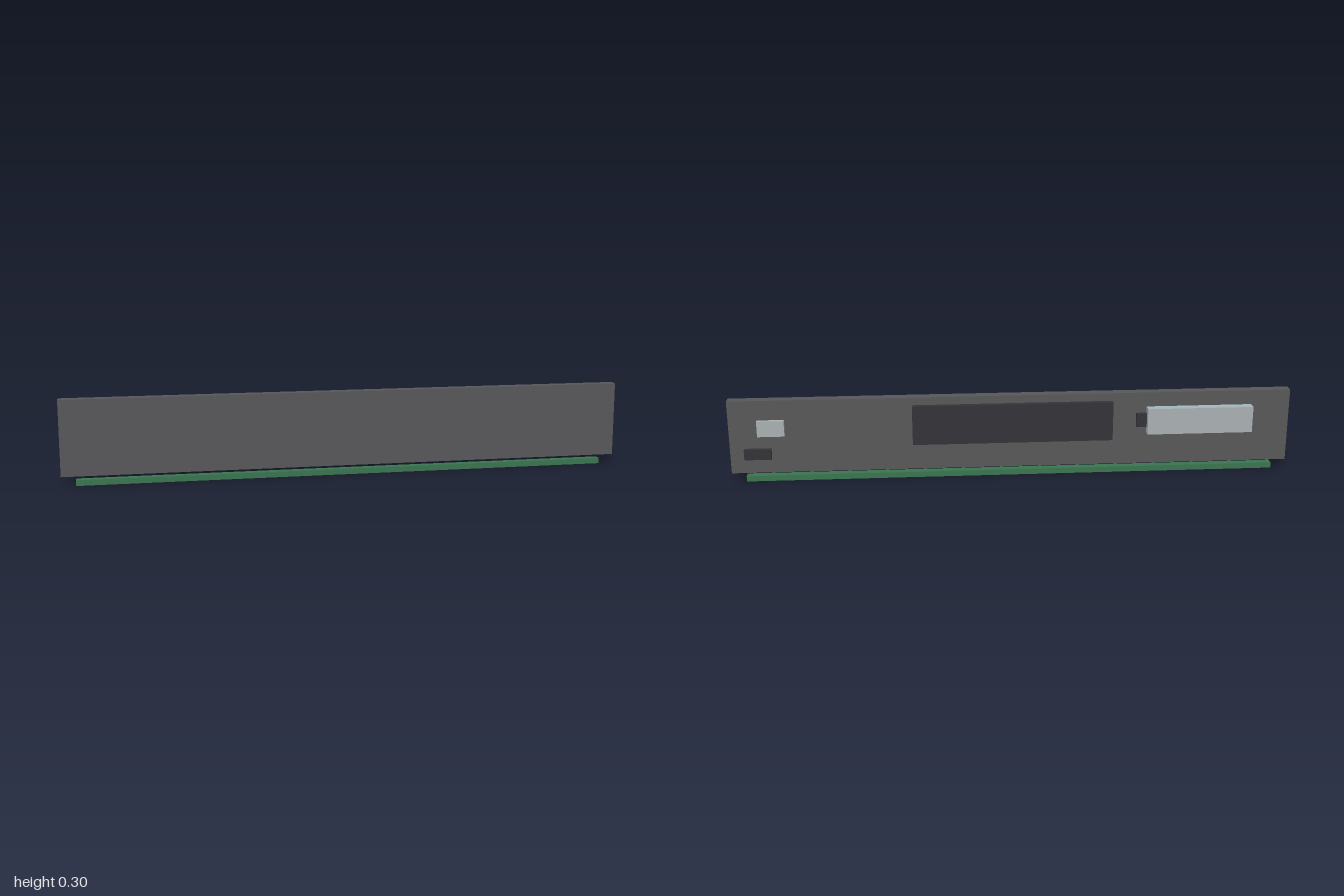
import * as THREE from 'three';

const material = (name, color) => {
  const m = new THREE.MeshStandardMaterial({ color });
  m.name = name;
  return m;
};

export function createModel() {
  const group = new THREE.Group();
  group.name = 'barModule';

  const slate = material('slate grey', 0x58585a);
  const charcoal = material('charcoal', 0x343337);
  const silver = material('silver', 0xaab1b2);
  const paleBlue = material('pale blue', 0x9cbcc8);
  const green = material('green', 0x3a7550);

  // Box given by its limits on each axis
  const box = (name, mat, [x0, x1], [y0, y1], [z0, z1]) => {
    const mesh = new THREE.Mesh(new THREE.BoxGeometry(x1 - x0, y1 - y0, z1 - z0), mat);
    mesh.name = name;
    mesh.position.set((x0 + x1) / 2, (y0 + y1) / 2, (z0 + z1) / 2);
    group.add(mesh);
  };

  const back = -0.001; // rear face of the main panel

  // Main panel and the strip floating beneath it
  box('mainPanel', slate, [-1, 1], [0.034, 0.3], [back, 0.036]);
  box('lowerStrip', green, [-0.95, 0.95], [0, 0.02], [0.003, 0.032]);

  // Central rear cover
  box('rearCover', charcoal, [-0.357, 0.357], [0.13, 0.272], [-0.02, back]);

  // Raised rear module: base, cap and side connector
  box('moduleBase', paleBlue, [-0.86, -0.48], [0.153, 0.248], [-0.017, back]);
  box('moduleCap', silver, [-0.86, -0.48], [0.153, 0.248], [-0.035, -0.017]);
  box('moduleConnector', charcoal, [-0.48, -0.443], [0.175, 0.225], [-0.014, back]);

  // Small ports near the model's left end
  box('upperPort', silver, [0.805, 0.9], [0.172, 0.229], [-0.016, back]);
  box('lowerPort', charcoal, [0.855, 0.95], [0.087, 0.125], [-0.016, back]);

  return group;
}
